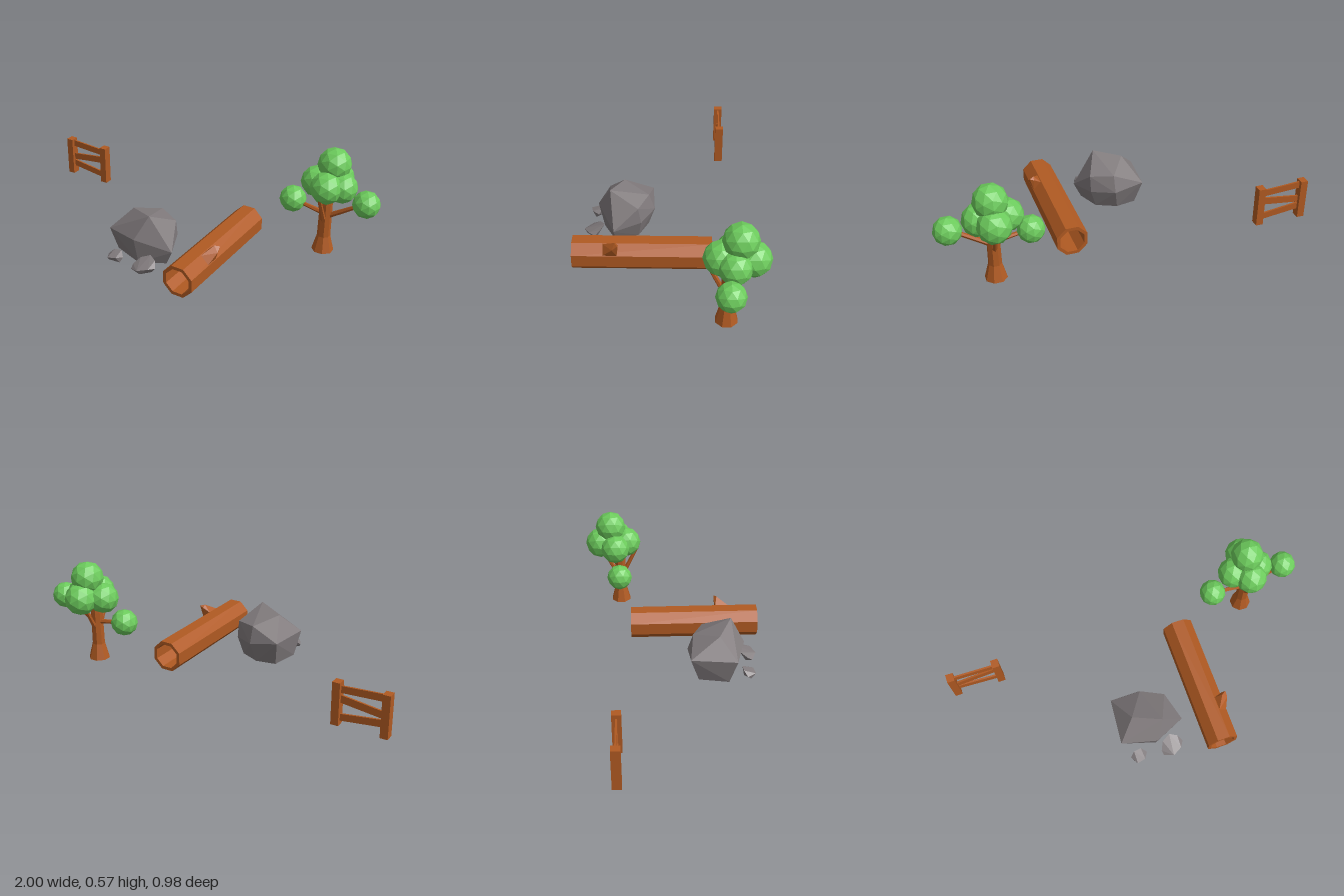
import * as THREE from 'three';
import { ConvexGeometry } from 'three/addons/geometries/ConvexGeometry.js';

const V = (x, y, z) => new THREE.Vector3(x, y, z);
const material = (color) => new THREE.MeshStandardMaterial({ color, flatShading: true });

export function createModel() {
  const model = new THREE.Group();
  const wood = material(0xb05a22);
  const stone = material(0x807a7c);
  const leaf = material(0x6ccb5c);

  const group = (name) => {
    const g = new THREE.Group();
    g.name = name;
    model.add(g);
    return g;
  };
  const add = (parent, name, geometry, mat) => {
    const mesh = new THREE.Mesh(geometry, mat);
    mesh.name = name;
    parent.add(mesh);
    return mesh;
  };
  const hull = (parent, name, points, mat) =>
    add(parent, name, new ConvexGeometry(points.map((p) => V(...p))), mat);
  // Tapered limb between two points
  const limb = (parent, name, a, b, r0, r1) => {
    const dir = b.clone().sub(a);
    const mesh = add(parent, name, new THREE.CylinderGeometry(r1, r0, dir.length(), 6), wood);
    mesh.position.copy(a).lerp(b, 0.5);
    mesh.quaternion.setFromUnitVectors(V(0, 1, 0), dir.normalize());
  };

  // Fence: two posts and three crooked rails
  const fence = group('fence');
  for (const [name, x] of [['rightPost', -0.98], ['leftPost', -0.73]]) {
    add(fence, name, new THREE.BoxGeometry(0.04, 0.225, 0.046), wood).position.set(x, 0.122, -0.295);
  }
  const rails = [ // top and bottom heights at the right end, then at the left end
    [0.228, 0.19, 0.214, 0.178],
    [0.138, 0.1, 0.168, 0.128],
    [0.096, 0.058, 0.066, 0.03],
  ];
  for (const [t0, b0, t1, b1] of rails) {
    const shape = new THREE.Shape([[-0.97, b0], [-0.74, b1], [-0.74, t1], [-0.97, t0]]
      .map(([x, y]) => new THREE.Vector2(x, y)));
    const rail = new THREE.ExtrudeGeometry(shape, { depth: 0.01, bevelEnabled: false });
    add(fence, 'rail', rail.translate(0, 0, -0.3), wood);
  }

  // Rocks: one boulder and two small stones
  const rocks = group('rocks');
  hull(rocks, 'boulder', [
    [0.015, 0.275, 0.31], [-0.13, 0.25, 0.24], [-0.04, 0.212, 0.105], [0.08, 0.2, 0.16],
    [-0.2, 0.15, 0.085], [-0.04, 0.12, 0.075], [0.08, 0.11, 0.145],
    [0.138, 0.09, 0.29], [-0.035, 0.155, 0.38], [-0.222, 0.145, 0.33],
    [-0.2, 0.008, 0.29], [-0.03, 0.008, 0.35], [0.1, 0.008, 0.28],
    [0.05, 0.008, 0.16], [-0.06, 0.008, 0.11], [-0.17, 0.008, 0.13],
  ], stone);
  hull(rocks, 'smallStone', [
    [-0.19, 0.03, 0.39], [-0.165, 0.055, 0.37], [-0.125, 0.058, 0.365], [-0.098, 0.035, 0.39],
    [-0.12, 0.042, 0.425], [-0.165, 0.035, 0.435], [-0.175, 0.008, 0.41],
    [-0.11, 0.008, 0.405], [-0.14, 0.008, 0.375],
  ], stone);
  hull(rocks, 'mediumStone', [
    [-0.02, 0.035, 0.41], [0.0, 0.06, 0.37], [0.045, 0.075, 0.345], [0.085, 0.065, 0.365],
    [0.107, 0.04, 0.395], [0.085, 0.045, 0.43], [0.035, 0.035, 0.457], [-0.015, 0.02, 0.435],
    [0.0, 0.008, 0.4], [0.08, 0.008, 0.39], [0.04, 0.008, 0.44],
  ], stone);

  // Hollow octagonal log with a branch stub
  const log = group('log');
  const octagon = (apothem) => Array.from({ length: 8 }, (_, i) => {
    const a = (i + 0.5) * Math.PI / 4, r = apothem / Math.cos(Math.PI / 8);
    return new THREE.Vector2(r * Math.cos(a), r * Math.sin(a));
  });
  const ring = new THREE.Shape(octagon(0.081));
  ring.holes.push(new THREE.Path(octagon(0.064)));
  const shell = new THREE.ExtrudeGeometry(ring, { depth: 0.718, bevelEnabled: false });
  add(log, 'hollowTrunk', shell.translate(0.3, 0.085, -0.229), wood);
  hull(log, 'branchStub', [
    [0.336, 0.162, 0.33], [0.378, 0.12, 0.33], [0.336, 0.162, 0.256], [0.378, 0.12, 0.256],
    [0.374, 0.2, 0.265], [0.398, 0.195, 0.25], [0.4, 0.172, 0.278], [0.376, 0.185, 0.248],
  ], wood);

  // Tree: flared trunk, four limbs and faceted foliage balls
  const tree = group('tree');
  const profile = [[0, 0.008], [0.058, 0.008], [0.035, 0.095], [0.033, 0.28], [0.025, 0.42], [0, 0.42]]
    .map(([r, y]) => new THREE.Vector2(r, y));
  const cx = 0.716, cz = -0.29;
  add(tree, 'trunk', new THREE.LatheGeometry(profile, 8, Math.PI / 8), wood).position.set(cx, 0, cz);
  limb(tree, 'leftLimb', V(cx, 0.205, cz), V(0.91, 0.33, cz), 0.015, 0.01);
  limb(tree, 'rightLimb', V(cx, 0.222, cz), V(0.54, 0.253, cz), 0.014, 0.009);
  limb(tree, 'frontLimb', V(cx, 0.18, -0.275), V(cx, 0.36, -0.185), 0.014, 0.009);
  limb(tree, 'backLimb', V(cx, 0.18, -0.305), V(cx, 0.36, -0.4), 0.014, 0.009);

  const balls = [ // x, y, z, radius
    [0.722, 0.49, -0.34, 0.088],
    [0.722, 0.39, -0.252, 0.086],
    [0.722, 0.388, -0.402, 0.087],
    [0.642, 0.382, -0.315, 0.083],
    [0.782, 0.382, -0.315, 0.083],
    [0.928, 0.337, -0.292, 0.072],
    [0.526, 0.257, -0.292, 0.072],
  ];
  for (const [x, y, z, r] of balls) {
    add(tree, 'foliage', new THREE.IcosahedronGeometry(r, 1), leaf).position.set(x, y, z);
  }

  // Rest the lowest point on the ground
  model.position.y = -new THREE.Box3().setFromObject(model).min.y;
  return model;
}
